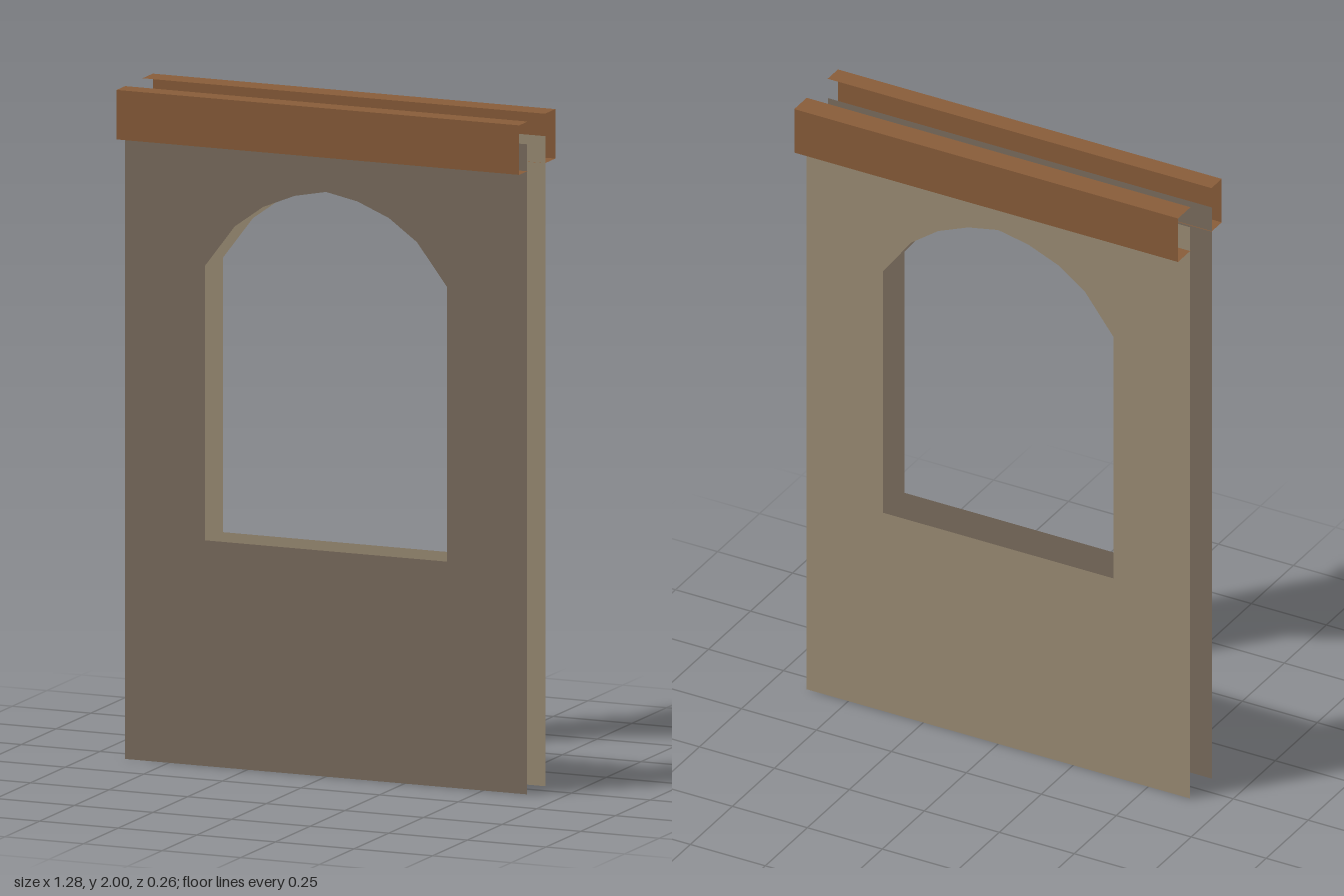
import * as THREE from 'three';

const HALF = 0.64;

// Thin wall sheet with an arched window opening
function wallGeometry() {
  const s = new THREE.Shape();
  s.moveTo(-HALF, 0);
  s.lineTo(HALF, 0);
  s.lineTo(HALF, 1.93);
  s.lineTo(-HALF, 1.93);
  s.closePath();
  const arch = [[0.385, 1.485], [0.29, 1.61], [0.2, 1.675], [0.1, 1.716]];
  const pts = [
    [-0.385, 0.67], ...arch.map(([x, y]) => [-x, y]), [0, 1.736],
    ...arch.slice().reverse(), [0.385, 0.67],
  ];
  s.holes.push(new THREE.Path(pts.map(([x, y]) => new THREE.Vector2(x, y))));
  return new THREE.ShapeGeometry(s);
}

// Open-ended channel beam: top, outer and bottom boards, no inner side
function channelBeam(name, zInner, zOuter, material) {
  const beam = new THREE.Group();
  beam.name = name;
  const top = 1.997, bottom = 1.85;
  const depth = Math.abs(zOuter - zInner), zMid = (zInner + zOuter) / 2;
  const add = (part, h, y, z, rx, ry = 0) => {
    const m = new THREE.Mesh(new THREE.PlaneGeometry(HALF * 2, h), material);
    m.name = part;
    m.position.set(0, y, z);
    m.rotation.set(rx, ry, 0);
    beam.add(m);
  };
  add('beamTop', depth, top, zMid, -Math.PI / 2);
  add('beamBottom', depth, bottom, zMid, Math.PI / 2);
  add('beamFace', top - bottom, (top + bottom) / 2, zOuter, 0, zOuter < 0 ? Math.PI : 0);
  return beam;
}

export function createModel() {
  const mat = (name, color) => {
    const m = new THREE.MeshStandardMaterial({ color, side: THREE.DoubleSide });
    m.name = name;
    return m;
  };
  const outerPlaster = mat('greyBrownPlaster', 0x7d6f60);
  const innerPlaster = mat('sandPlaster', 0x9e8f76);
  const wood = mat('brownWood', 0x8b5e3a);

  const model = new THREE.Group();
  model.name = 'windowWall';

  // Two wall sheets, front and back
  const front = new THREE.Mesh(wallGeometry(), outerPlaster);
  front.name = 'frontWall';
  front.position.z = 0.07;
  const back = new THREE.Mesh(wallGeometry().rotateY(Math.PI), innerPlaster);
  back.name = 'backWall';
  back.position.z = -0.06;
  model.add(front, back);

  // Beams along the top of each wall
  model.add(channelBeam('frontBeam', 0.067, 0.128, wood));
  model.add(channelBeam('backBeam', -0.058, -0.132, wood));
  return model;
}
